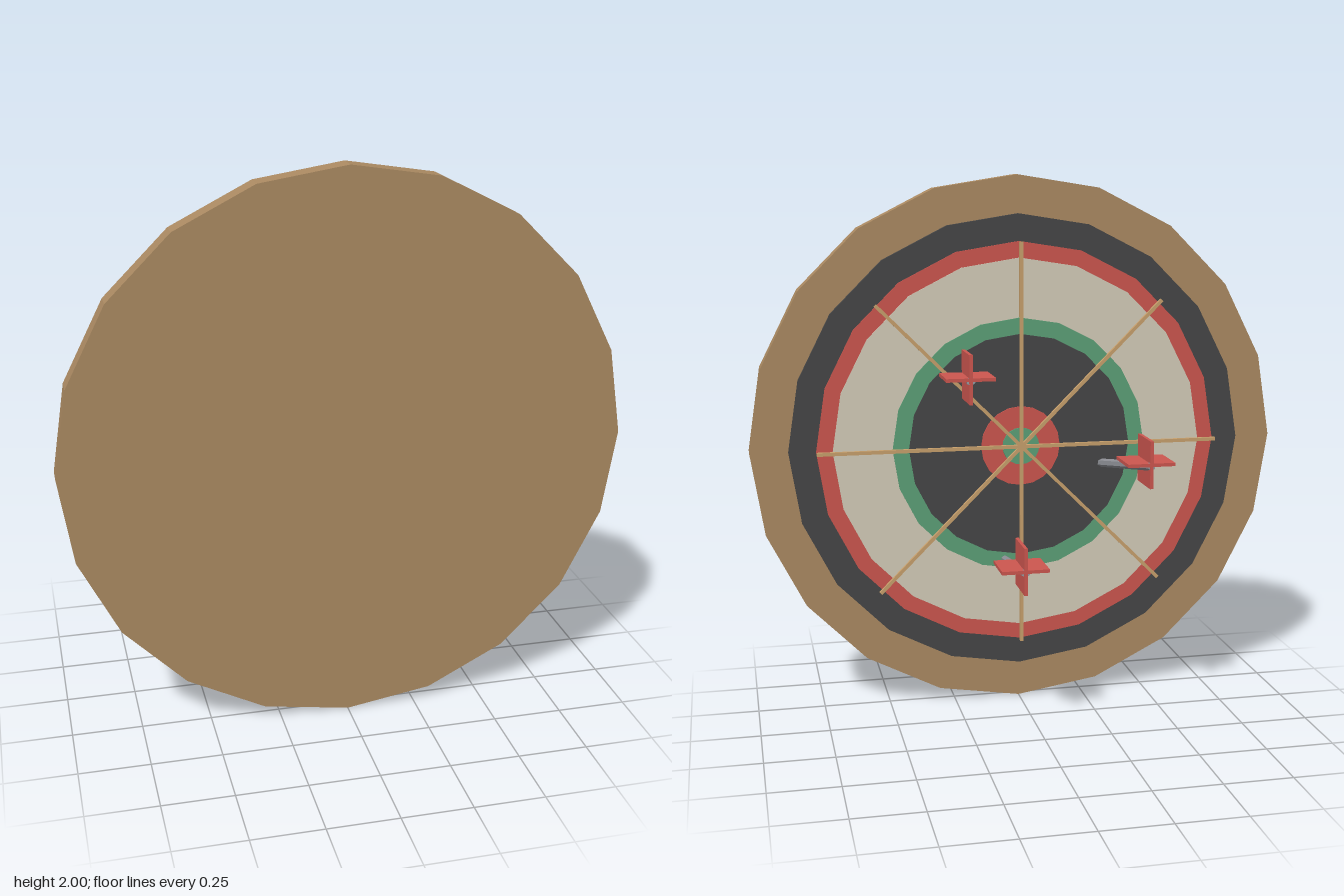
import * as THREE from 'three';

const mat = (name, color) => {
  const m = new THREE.MeshStandardMaterial({ color, flatShading: true });
  m.name = name;
  return m;
};

export function createModel() {
  const wood = mat('wood', 0xab8a62);
  const black = mat('black', 0x464647);
  const red = mat('red', 0xcc564f);
  const cream = mat('cream', 0xd4ccb9);
  const green = mat('green', 0x5ca077);
  const brass = mat('brass', 0xc8a06c);
  const steel = mat('steel', 0x8e9096);

  const model = new THREE.Group();
  model.name = 'dartboard';

  const add = (parent, name, geometry, material) => {
    const mesh = new THREE.Mesh(geometry, material);
    mesh.name = name;
    parent.add(mesh);
    return mesh;
  };

  // Stacked 20-sided discs; the playing face looks toward -z
  const discs = [
    ['backboard', 1, 0.22, 0.3, wood],
    ['outerBand', 0.86, 0.2, 0.22, black],
    ['doubleRing', 0.76, 0.193, 0.2, red],
    ['outerField', 0.7, 0.188, 0.193, cream],
    ['trebleRing', 0.48, 0.182, 0.188, green],
    ['innerField', 0.42, 0.177, 0.182, black],
    ['outerBull', 0.15, 0.171, 0.177, red],
    ['bullseye', 0.07, 0.165, 0.171, green],
  ];
  for (const [name, r, z0, z1, material] of discs) {
    const g = new THREE.CylinderGeometry(r, r, z1 - z0, 20).rotateX(Math.PI / 2);
    add(model, name, g, material).position.set(0, 1, (z0 + z1) / 2);
  }

  // Four full-width divider wires make eight spokes
  for (let i = 0; i < 4; i++) {
    const wire = add(model, 'dividerWire', new THREE.BoxGeometry(0.013, 1.52, 0.013), brass);
    wire.position.set(0, 1, 0.157);
    wire.rotation.z = (i * Math.PI) / 4;
  }

  // Darts: slanted shaft with crossed flights at the tail
  const darts = [
    [[-0.315, 0.92], [-0.37, 1.0]],
    [[0.06, 0.56], [0.08, 0.64]],
    [[0.2, 1.24], [0.268, 1.32]],
  ];
  for (const [tip, tail] of darts) {
    const dart = new THREE.Group();
    dart.name = 'dart';
    model.add(dart);

    const a = new THREE.Vector3(tip[0], tip[1], 0.18);
    const b = new THREE.Vector3(tail[0], tail[1], -0.295);
    const dir = b.clone().sub(a);
    const shaft = add(dart, 'shaft', new THREE.CylinderGeometry(0.016, 0.016, dir.length(), 6), steel);
    shaft.position.copy(a).lerp(b, 0.5);
    shaft.quaternion.setFromUnitVectors(new THREE.Vector3(0, 1, 0), dir.normalize());

    for (const [w, h] of [[0.17, 0.012], [0.012, 0.17]]) {
      const flight = add(dart, 'flight', new THREE.BoxGeometry(w, h, 0.155), red);
      flight.position.set(tail[0], tail[1] + 0.004, -0.2225);
    }
  }

  return model;
}
